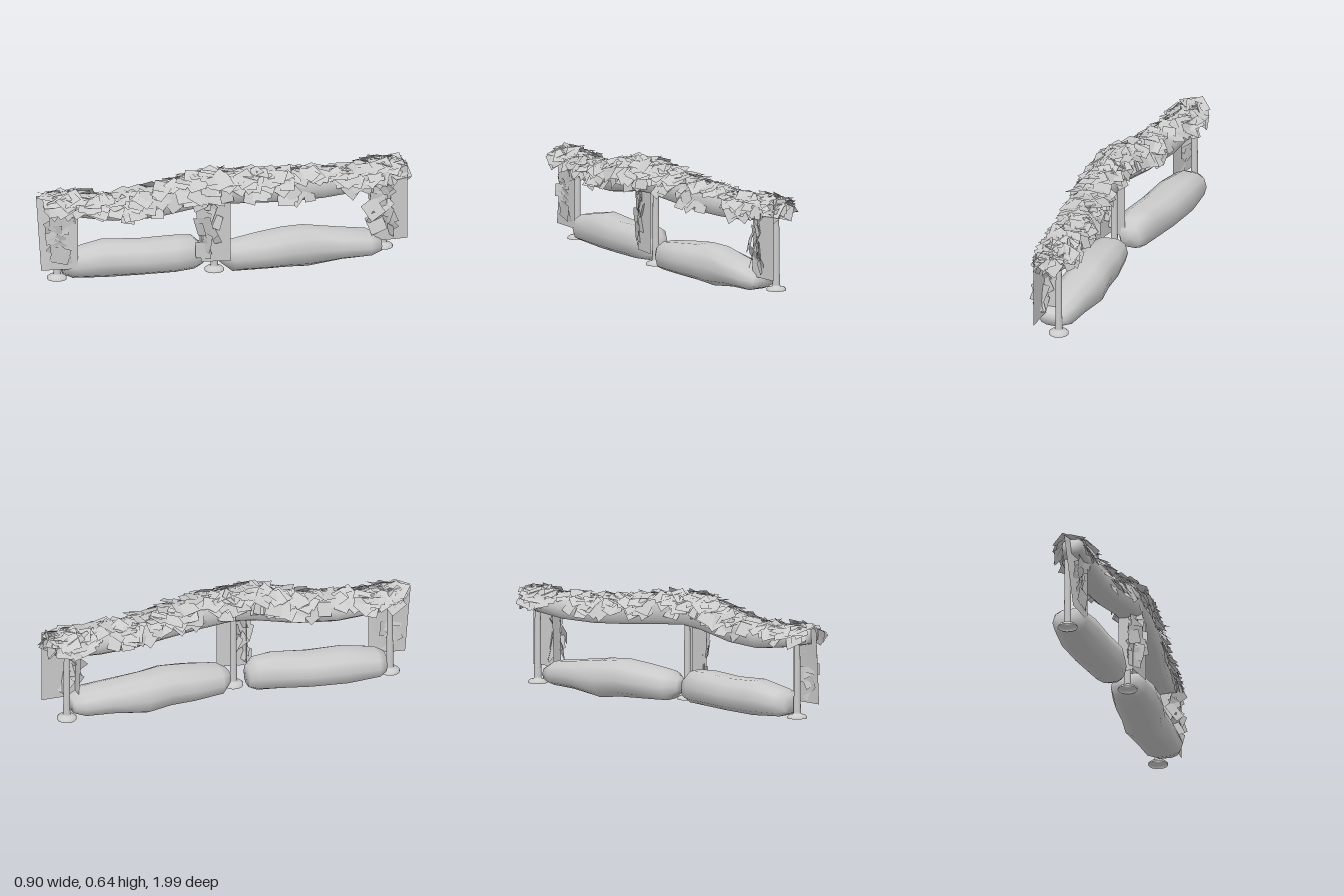
import * as THREE from 'three';
import { mergeGeometries } from 'three/addons/utils/BufferGeometryUtils.js';

const material = new THREE.MeshStandardMaterial({ color: 0xcccccc });
const thin = new THREE.MeshStandardMaterial({ color: 0xcccccc, side: THREE.DoubleSide });
const { lerp } = THREE.MathUtils;

let seed = 7;
const rand = () => (seed = (seed * 16807) % 2147483647) / 2147483647;
const jitter = (a) => (rand() * 2 - 1) * a;

function add(parent, name, geometry, mat = material) {
  const mesh = new THREE.Mesh(geometry, mat);
  mesh.name = name;
  parent.add(mesh);
  return mesh;
}

// Sweep stations [x, z, halfWidth, yLow, yHigh]; returns a surface point and normal at (station t, angle)
function surface(stations, power) {
  const last = stations.length - 1;
  const tangent = (i) => {
    const a = stations[Math.max(0, i - 1)], b = stations[Math.min(last, i + 1)];
    return new THREE.Vector2(b[0] - a[0], b[1] - a[1]).normalize();
  };
  const bulge = (v) => Math.sign(v) * Math.pow(Math.abs(v), power);
  return (t, angle) => {
    const i = Math.min(last - 1, Math.floor(t)), f = t - i;
    const [x, z, w, lo, hi] = stations[i].map((v, k) => lerp(v, stations[i + 1][k], f));
    const d = tangent(i).lerp(tangent(i + 1), f).normalize();
    const c = Math.cos(angle), s = Math.sin(angle);
    return {
      point: new THREE.Vector3(
        x + d.y * w * bulge(c), (lo + hi) / 2 + ((hi - lo) / 2) * bulge(s), z - d.x * w * bulge(c)),
      normal: new THREE.Vector3(d.y * c, s, -d.x * c).normalize(),
    };
  };
}

// Closed smooth body through the stations
function loft(stations, sides, power) {
  const at = surface(stations, power), pos = [], index = [], n = stations.length;
  for (let i = 0; i < n; i++)
    for (let j = 0; j < sides; j++) pos.push(...at(i, (j / sides) * Math.PI * 2).point);
  for (let i = 0; i < n - 1; i++)
    for (let j = 0; j < sides; j++) {
      const a = i * sides + j, b = i * sides + ((j + 1) % sides);
      index.push(a, b, b + sides, a, b + sides, a + sides);
    }
  for (const [i, flip] of [[0, true], [n - 1, false]]) {
    const [x, z, , lo, hi] = stations[i], c = pos.length / 3;
    pos.push(x, (lo + hi) / 2, z);
    for (let j = 0; j < sides; j++) {
      const a = i * sides + j, b = i * sides + ((j + 1) % sides);
      index.push(c, flip ? b : a, flip ? a : b);
    }
  }
  const g = new THREE.BufferGeometry();
  g.setAttribute('position', new THREE.Float32BufferAttribute(pos, 3));
  g.setIndex(index);
  g.computeVertexNormals();
  return g;
}

// One square leaf card lying against a surface, slightly tilted
function leaf(point, normal, size, tilt) {
  const g = new THREE.PlaneGeometry(size, size * (0.8 + rand() * 0.3));
  g.rotateZ(rand() * Math.PI);
  const n = normal.clone().add(new THREE.Vector3(jitter(tilt), jitter(tilt), jitter(tilt))).normalize();
  g.applyQuaternion(new THREE.Quaternion().setFromUnitVectors(new THREE.Vector3(0, 0, 1), n));
  const p = point.clone().addScaledVector(normal, rand() * 0.015);
  return g.translate(p.x, p.y, p.z);
}

// Upright quad between two ground points; lean shifts the top of its first and second edge in x
function panel([x0, z0], [x1, z1], lean0, lean1) {
  const g = new THREE.PlaneGeometry(1, 1);
  const p = g.attributes.position;
  for (let i = 0; i < 4; i++) {
    const second = p.getX(i) > 0, top = p.getY(i) > 0;
    const x = second ? x1 + (top ? lean1 : 0) : x0 + (top ? lean0 : 0);
    p.setXYZ(i, x, top ? 0.54 : 0.115, second ? z1 : z0);
  }
  g.computeVertexNormals();
  return g;
}

export function createModel() {
  const group = new THREE.Group();

  // Overhead hedge, a wavy strip running diagonally
  const hedge = [
    [-0.335, 0.93, 0.06, 0.45, 0.535], [-0.30, 0.80, 0.085, 0.42, 0.53], [-0.19, 0.6, 0.085, 0.385, 0.515],
    [-0.08, 0.4, 0.085, 0.39, 0.55], [0.02, 0.2, 0.085, 0.43, 0.61], [0.07, 0.08, 0.085, 0.445, 0.61],
    [0.13, -0.1, 0.085, 0.43, 0.595], [0.19, -0.3, 0.085, 0.41, 0.565], [0.23, -0.5, 0.085, 0.40, 0.54],
    [0.28, -0.7, 0.085, 0.405, 0.535], [0.32, -0.85, 0.095, 0.43, 0.55], [0.335, -0.95, 0.06, 0.45, 0.535],
  ];
  add(group, 'hedgeCore', loft(hedge, 12, 0.7));

  // Shingled leaves, lying mostly flat over the top and the shoulders
  const onHedge = surface(hedge, 0.7);
  const leaves = [];
  for (let i = 0; i < 330; i++) {
    const t = ((i + rand()) / 330) * (hedge.length - 1);
    const { point, normal } = onHedge(t, -0.1 + rand() * (Math.PI + 0.45));
    normal.y += 0.65;
    leaves.push(leaf(point, normal.normalize(), 0.07 + rand() * 0.035, 0.3));
  }
  // A few leaves closing the back end
  for (let i = 0; i < 6; i++)
    leaves.push(leaf(new THREE.Vector3(0.335 + jitter(0.06), 0.5 + jitter(0.03), -0.955),
      new THREE.Vector3(0.3, 0.4, -0.85), 0.08, 0.3));

  // Hanging curtains wrapped around each post: outer, corner and inner ground points, then leans
  const curtains = [
    { corners: [[-0.335, 0.97], [-0.24, 0.79]], lean: [-0.05, 0], leafNormal: [0.85, 0, 0.45], from: 0.25, to: 0.7 },
    { corners: [[-0.01, 0.12], [0.065, 0.18], [0.15, 0.04]], lean: [0, 0, 0], leafNormal: [0.5, 0, 0.85], from: 0, to: 0.5 },
    { corners: [[0.31, -0.79], [0.37, -0.77], [0.435, -0.95]], lean: [-0.035, -0.01, 0], leafNormal: [0.5, 0, 0.85], from: 0, to: 0.5 },
  ];
  for (const { corners, lean, leafNormal, from, to } of curtains) {
    for (let k = 0; k < corners.length - 1; k++)
      add(group, 'curtain', panel(corners[k], corners[k + 1], lean[k], lean[k + 1]), thin);
    const [a, b] = corners.slice(-2);
    for (let i = 0; i < 14; i++) {
      const f = lerp(from, to, rand());
      const p = new THREE.Vector3(lerp(a[0], b[0], f), 0.18 + (i / 14) * 0.3, lerp(a[1], b[1], f));
      leaves.push(leaf(p, new THREE.Vector3(...leafNormal), 0.07 + rand() * 0.035, 0.35));
    }
  }
  add(group, 'leaves', mergeGeometries(leaves), thin);

  // Posts with round domed feet, hollow underneath
  const profile = [[0.055, 0.037], [0.055, 0.045], [0.045, 0.054], [0.02, 0.06],
    [0.02, 0.07], [0.015, 0.55], [0, 0.55]].map(([x, y]) => new THREE.Vector2(x, y));
  for (const [x, z] of [[-0.355, 0.85], [0.045, 0.075], [0.3, -0.88]])
    add(group, 'post', new THREE.LatheGeometry(profile, 14), thin).position.set(x, 0, z);

  // Long boulders lying beside the posts
  add(group, 'frontBoulder', loft([
    [-0.355, 0.815, 0.06, 0.06, 0.165], [-0.335, 0.77, 0.1, 0.04, 0.19], [-0.27, 0.6, 0.115, 0.028, 0.225],
    [-0.18, 0.42, 0.115, 0.03, 0.215], [-0.09, 0.25, 0.11, 0.035, 0.225],
    [-0.055, 0.15, 0.09, 0.04, 0.22], [-0.04, 0.105, 0.06, 0.06, 0.175]], 10, 0.75));
  add(group, 'backBoulder', loft([
    [0.05, 0.035, 0.05, 0.07, 0.15], [0.06, -0.02, 0.1, 0.025, 0.185], [0.11, -0.18, 0.125, 0.02, 0.205],
    [0.155, -0.32, 0.125, 0.015, 0.22], [0.18, -0.44, 0.12, 0, 0.215], [0.26, -0.62, 0.115, 0.025, 0.185],
    [0.32, -0.76, 0.11, 0.03, 0.165], [0.34, -0.82, 0.075, 0.05, 0.13]], 10, 0.75));

  return group;
}
